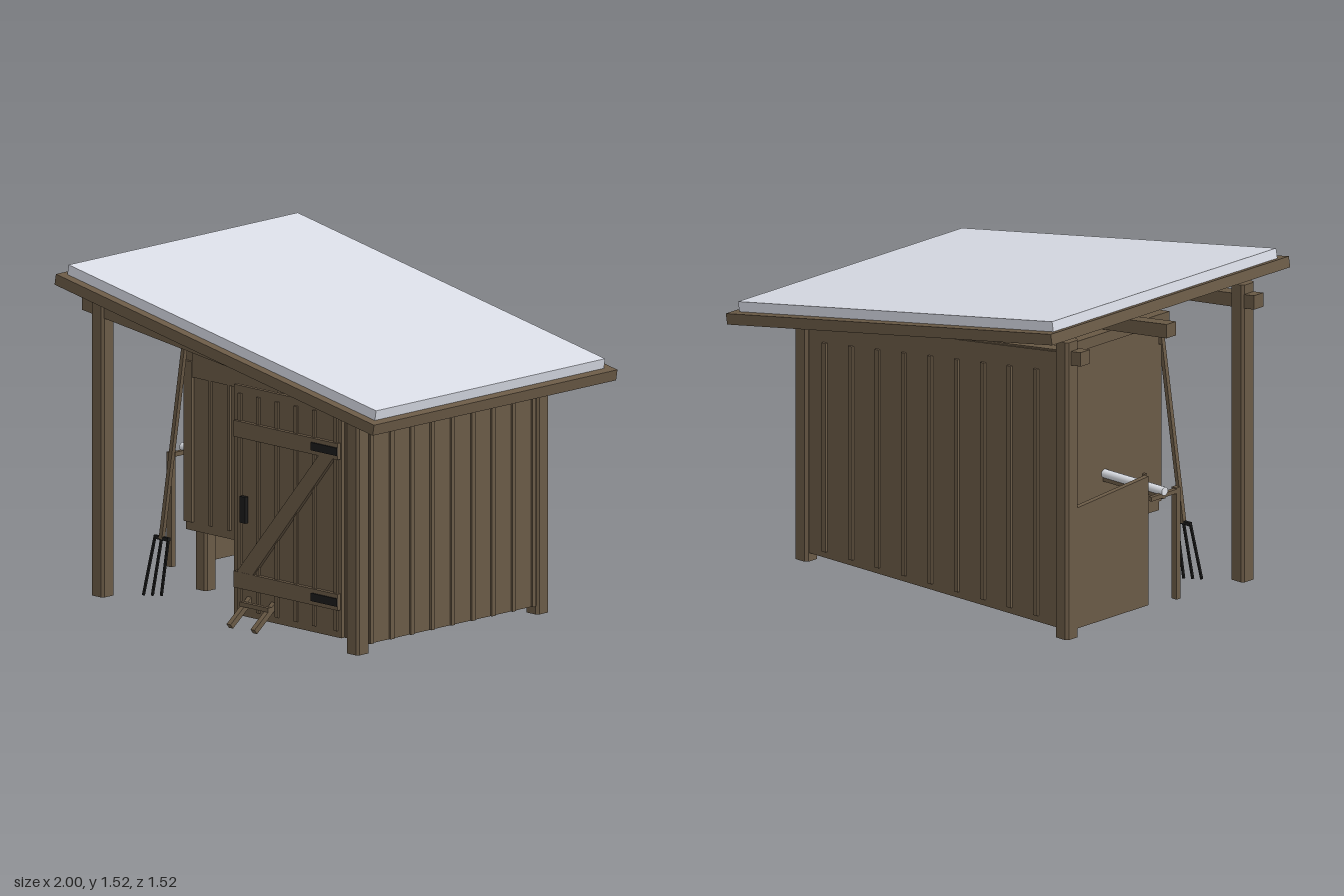
import * as THREE from 'three';

const mat = (name, color) => Object.assign(new THREE.MeshStandardMaterial({ color }), { name });

export function createModel() {
  const root = new THREE.Group();
  root.name = 'shed';
  const wood = mat('brown wood', 0x6a5a46);
  const metal = mat('grey roofing', 0xd9dce6);
  const iron = mat('black iron', 0x1b1b1b);
  const steel = mat('pale trough', 0xdcdfe5);
  const tub = mat('barrel wood', 0x6a5a46);
  tub.side = THREE.DoubleSide;

  const add = (name, geo, material = wood, parent = root) => {
    const m = new THREE.Mesh(geo, material);
    m.name = name;
    parent.add(m);
    return m;
  };
  // Box given by its limits on each axis
  const box = (name, x0, x1, y0, y1, z0, z1, material = wood, parent = root) => {
    const m = add(name, new THREE.BoxGeometry(x1 - x0, y1 - y0, z1 - z0), material, parent);
    m.position.set((x0 + x1) / 2, (y0 + y1) / 2, (z0 + z1) / 2);
    return m;
  };
  // Upright plate with an outline in x and y
  const plate = (name, pts, z0, z1, hole) => {
    const shape = new THREE.Shape(pts.map(p => new THREE.Vector2(...p)));
    if (hole) shape.holes.push(new THREE.Path(hole.map(p => new THREE.Vector2(...p))));
    const m = add(name, new THREE.ExtrudeGeometry(shape, { depth: z1 - z0, bevelEnabled: false }));
    m.position.z = z0;
    return m;
  };
  // Square bar between two points
  const bar = (name, a, b, w, material = wood) => {
    const p = new THREE.Vector3(...a), q = new THREE.Vector3(...b);
    const m = add(name, new THREE.BoxGeometry(w, p.distanceTo(q), w), material);
    m.position.copy(p).add(q).multiplyScalar(0.5);
    m.quaternion.setFromUnitVectors(new THREE.Vector3(0, 1, 0), q.sub(p).normalize());
    return m;
  };
  // Post with chamfered corners
  const post = (name, x, z, y0, y1, r = 0.04) => {
    const c = r * 0.7;
    const shape = new THREE.Shape([[r, -c], [r, c], [c, r], [-c, r], [-r, c], [-r, -c], [-c, -r], [c, -r]]
      .map(p => new THREE.Vector2(...p)));
    const m = add(name, new THREE.ExtrudeGeometry(shape, { depth: y1 - y0, bevelEnabled: false }));
    m.rotation.x = -Math.PI / 2;
    m.position.set(x, y0, z);
  };

  // Sloping roof: fascia frame, thin deck and grey covering
  const roof = new THREE.Group();
  roof.name = 'roof';
  roof.position.y = 1.273;
  roof.rotation.z = -Math.atan(0.36 / 2);
  root.add(roof);
  const L = 1.011, W = 0.762;
  for (const s of [-1, 1]) {
    box('sideFascia', -L, L, -0.025, 0.025, s * W - (s > 0 ? 0.045 : 0), s * W + (s > 0 ? 0 : 0.045), wood, roof);
    box('endFascia', s * L - (s > 0 ? 0.045 : 0), s * L + (s > 0 ? 0 : 0.045), -0.025, 0.025, -W + 0.045, W - 0.045, wood, roof);
  }
  box('roofDeck', -L + 0.045, L - 0.045, -0.01, 0.024, -W + 0.045, W - 0.045, wood, roof);
  box('roofCovering', -0.984, 0.97, 0.024, 0.071, -0.717, 0.717, metal, roof);

  // Corner posts and sloping beams
  for (const z of [-0.565, 0.56]) {
    post('tallPost', -0.9, z, 0, 1.385);
    post('shortPost', 0.695, z, 0, 1.1);
  }
  for (const z of [-0.55, 0, 0.56])
    plate('beam', [[-1, 1.285], [0.79, 1.07], [0.79, 1.112], [-1, 1.35]], z - 0.03, z + 0.03);

  // Back wall set between the posts, with battens
  const wallTop = x => 1.335 - (x + 0.94) * 0.135;
  plate('backWall', [[-0.9, 0.04], [0.7, 0.04], [0.7, wallTop(0.7)], [-0.9, wallTop(-0.9)]], -0.588, -0.565);
  for (let i = 0; i < 9; i++) {
    const x = -0.74 + i * 0.162;
    box('backBatten', x - 0.012, x + 0.012, 0.07, wallTop(x) - 0.09, -0.6, -0.588);
  }

  // Right wall with battens
  box('sideWall', 0.705, 0.726, 0.04, 1.075, -0.545, 0.545);
  for (let i = 0; i < 9; i++) {
    const z = 0.51 - i * 0.127;
    box('sideBatten', 0.726, 0.736, 0.04, 1.07, z - 0.011, z + 0.011);
  }

  // Low wall on the open side
  plate('lowWall', [[0.08, 0.04], [0.56, 0.04], [0.56, 0.6], [0.08, 0.64]], -0.938, -0.913).rotation.y = Math.PI / 2;
  root.children.at(-1).position.set(-0.938, 0, 0);

  // Trough on its stand
  box('standLeg', -0.975, -0.945, 0.04, 0.56, 0.06, 0.085);
  box('standBar', -0.975, -0.955, 0.535, 0.555, -0.1, 0.085);
  box('standRail', -0.975, -0.61, 0.53, 0.55, -0.03, -0.01);
  const trough = add('trough', new THREE.CylinderGeometry(0.02, 0.02, 0.38, 12), steel);
  trough.rotation.z = Math.PI / 2;
  trough.position.set(-0.79, 0.565, -0.02);

  // Raised inner box on four legs
  for (const x of [-0.54, 0.335]) for (const z of [-0.285, 0.275]) post('boxLeg', x, z, 0.04, 0.32, 0.035);
  box('boxFloor', -0.6, 0.4, 0.31, 0.335, -0.34, 0.31);
  const boxTop = x => 1.2 - (x + 0.61) * 0.12;
  const outline = [[-0.61, 0.31], [0.4, 0.31], [0.4, boxTop(0.4)], [-0.61, boxTop(-0.61)]];
  plate('boxFront', outline, 0.31, 0.33, [[0.05, 0.34], [0.05, 0.72], [0.27, 0.72], [0.27, 0.34]]);
  plate('boxBack', outline, -0.36, -0.34);
  box('boxLeftSide', -0.61, -0.59, 0.31, 1.19, -0.34, 0.31);
  box('boxRightSide', 0.38, 0.4, 0.31, 1.07, -0.34, 0.31);
  plate('boxRoof', [[-0.64, 1.185], [0.45, 1.055], [0.45, 1.105], [-0.64, 1.235]], -0.37, 0.365);
  for (const x of [-0.45, -0.333, -0.217, -0.1])
    box('boxBatten', x - 0.008, x + 0.008, 0.35, 1.01, 0.33, 0.34);
  plate('boxTopTrim', [[-0.56, 1.01], [-0.02, 1.01], [-0.02, 1.125], [-0.56, 1.185]], 0.33, 0.342);
  box('boxCornerTrim', -0.61, -0.56, 0.35, 1.08, 0.33, 0.345);

  // Door with jamb, battens, ledges and brace
  box('doorJamb', 0.635, 0.665, 0.07, 1.1, 0.55, 0.602);
  box('door', -0.018, 0.655, 0.07, 1.115, 0.602, 0.622);
  for (const x of [0.025, 0.14, 0.257, 0.375, 0.49, 0.625])
    box('doorBatten', x - 0.01, x + 0.01, 0.1, 1.08, 0.622, 0.631);
  for (const y of [0.235, 0.92]) {
    box('doorLedge', 0, 0.65, y - 0.037, y + 0.037, 0.622, 0.642);
    box('hinge', 0.49, 0.65, y - 0.018, y + 0.018, 0.642, 0.649, iron);
  }
  plate('doorBrace', [[0.02, 0.272], [0.12, 0.272], [0.62, 0.883], [0.53, 0.883]], 0.622, 0.641);
  box('doorHandle', 0.045, 0.08, 0.5, 0.62, 0.63, 0.65, iron);

  // Ramp up to the box
  for (const x of [0.08, 0.23]) bar('rampRail', [x, 0.05, 0.745], [x, 0.355, 0.36], 0.025);
  for (const t of [0.22, 0.45, 0.68, 0.9])
    box('rampRung', 0.065, 0.245, 0.06 + t * 0.305, 0.08 + t * 0.305, 0.735 - t * 0.385, 0.755 - t * 0.385);

  // Open barrel with a solid iron hoop plate
  const ring = (name, r, y0, y1, open, material) => {
    const geo = new THREE.CylinderGeometry(r, r, y1 - y0, 8, 1, open, Math.PI / 8).toNonIndexed();
    geo.computeVertexNormals();
    add(name, geo, material).position.set(-0.305, (y0 + y1) / 2, -0.3);
  };
  ring('barrel', 0.186, 0.045, 0.31, true, tub);
  ring('barrelHoop', 0.194, 0.115, 0.155, false, iron);

  // Fork leaning on the box
  bar('forkHandle', [-0.705, 0.26, 0.385], [-0.57, 1.17, 0.375], 0.02);
  bar('forkHead', [-0.75, 0.262, 0.385], [-0.66, 0.262, 0.385], 0.016, iron);
  for (let i = 0; i < 3; i++)
    bar('forkTine', [-0.77 + i * 0.032, 0, 0.435 - i * 0.024], [-0.738 + i * 0.032, 0.262, 0.395 - i * 0.01], 0.01, iron);
  bar('shovelHandle', [-0.59, 0.05, 0.2], [-0.645, 0.52, 0.2], 0.014);

  // Loose straw on the ground
  let seed = 7;
  const rnd = () => (seed = (seed * 16807) % 2147483647) / 2147483647;
  for (let i = 0; i < 9; i++) {
    const m = add('straw', new THREE.BoxGeometry(0.1, 0.01, 0.01));
    m.position.set(-0.35 + rnd() * 0.65, 0.04, -0.07 + rnd() * 0.22);
    m.rotation.y = rnd() * Math.PI;
  }
  return root;
}
